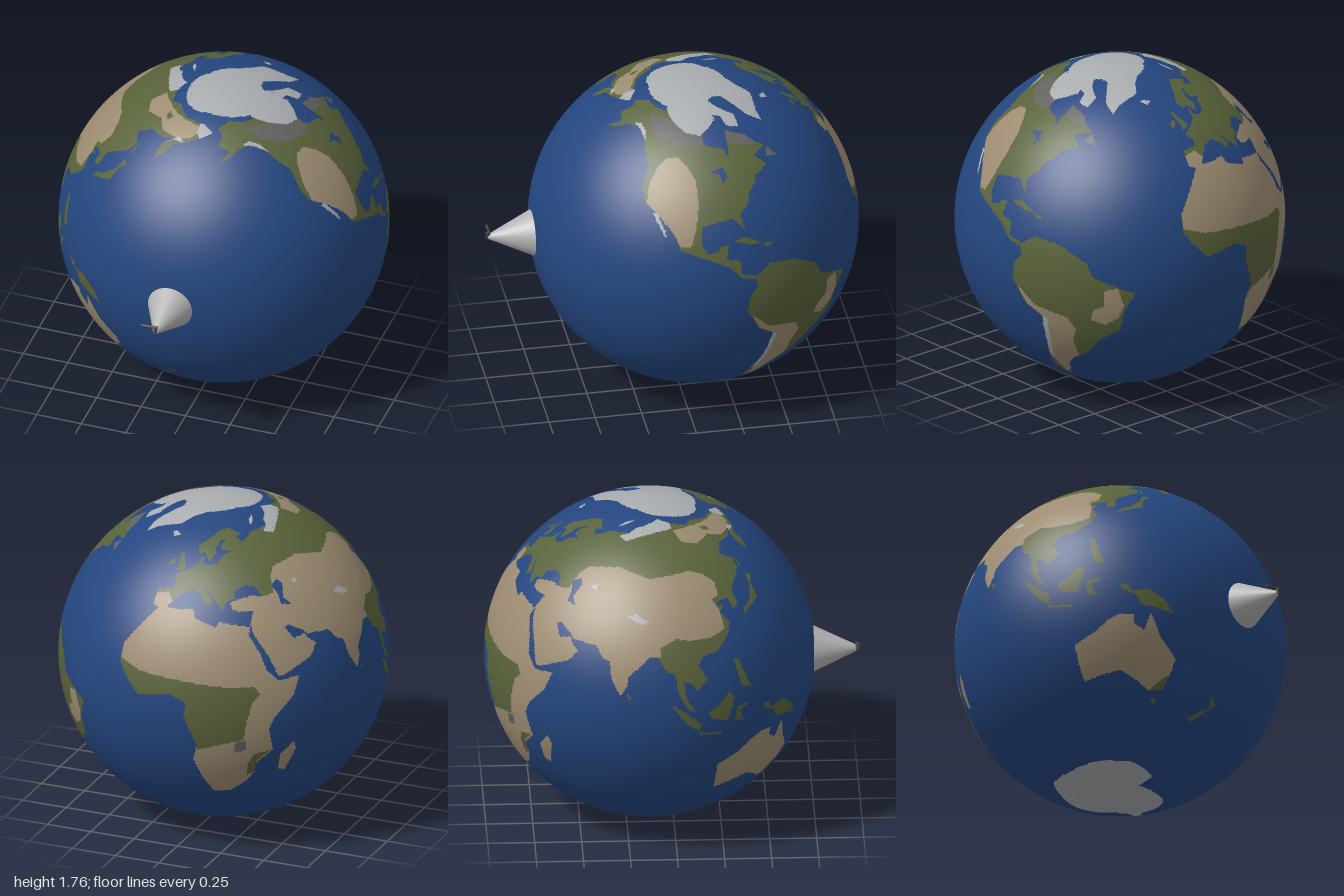
import * as THREE from 'three';

const mat = (name, color) => {
  const m = new THREE.MeshStandardMaterial({ color });
  m.name = name;
  return m;
};
const ocean = mat('oceanBlue', 0x24467f);
const green = mat('forestGreen', 0x59633a);
const tan = mat('desertTan', 0x9d8c72);
const ice = mat('iceWhite', 0xa9adb0);
const grey = mat('tundraGrey', 0x62635f);
const metal = mat('coneSilver', 0xb4b4b4);
const dark = mat('handleBrown', 0x4b453e);

const R = 0.88, CENTRE = [0, 0.88, -0.12];

// Regions are outlines of longitude, latitude pairs; later ones cover earlier ones
const regions = [];
function paint(material, ...outlines) {
  for (const pts of outlines) {
    const box = [999, -999, 999, -999];
    for (let i = 0; i < pts.length; i += 2) {
      box[0] = Math.min(box[0], pts[i]); box[1] = Math.max(box[1], pts[i]);
      box[2] = Math.min(box[2], pts[i + 1]); box[3] = Math.max(box[3], pts[i + 1]);
    }
    regions.push({ material, pts, box });
  }
}
function inside({ pts, box }, x, y) {
  if (x < box[0] || x > box[1] || y < box[2] || y > box[3]) return false;
  let hit = false;
  for (let i = 0, j = pts.length - 2; i < pts.length; j = i, i += 2) {
    const [xi, yi, xj, yj] = [pts[i], pts[i + 1], pts[j], pts[j + 1]];
    if ((yi > y) !== (yj > y) && x < (xj - xi) * (y - yi) / (yj - yi) + xi) hit = !hit;
  }
  return hit;
}
function colourAt(lon, lat) {
  for (let i = regions.length - 1; i >= 0; i--) {
    if (inside(regions[i], lon, lat) || inside(regions[i], lon + 360, lat)) return regions[i].material;
  }
  return ocean;
}

// Europe and its islands
paint(green,
  [-9, 43, -2, 43.5, -1, 46, -4, 48.5, 2, 51, 8, 54, 8.5, 57, 10.5, 57.5, 10, 54.5, 14, 54, 19, 54.5, 21, 57, 24, 59,
    30, 60, 30, 64, 33, 66.5, 38, 64, 44, 66, 48, 68, 48, 42, 41, 41.5, 38, 45.5, 33, 46, 28, 44, 28, 41, 24, 40.5,
    23, 37, 19, 41, 13.5, 45.5, 18, 40.5, 16, 38, 12, 42.5, 9, 44, 3, 42.5, 0, 39, -2, 37, -6, 36, -9, 37],
  [30, 60, 22, 60.5, 21, 63, 25, 65.5, 21, 65, 17, 61, 18, 59, 14, 55.5, 11, 59, 6, 58.5, 5, 62, 12, 66, 20, 70,
    28, 71, 40, 67.5, 33, 66.5, 30, 64],
  [-5, 50, 1, 51.5, 0, 53.5, -2, 56, -3, 58.5, -5.5, 58, -4, 54, -3, 52],
  [-10, 52, -6.5, 52.5, -6, 55, -9, 54.5]);
paint(tan, [-9, 41, -3, 42, 0, 39, -2, 37, -6, 36, -9, 37]);
paint(ice, [-24, 65.5, -20, 66, -14, 65, -19, 63.5]);

// Asia and its islands
paint(green,
  [48, 68, 54, 68.5, 68, 69, 73, 72, 80, 73, 100, 77, 113, 74, 130, 71, 140, 72.5, 160, 69.5, 180, 69, 190, 66, 180, 63,
    170, 60, 163, 58, 162, 55, 157, 51, 156, 57, 163, 61, 155, 59, 142, 59, 135, 55, 141, 52, 140, 48, 131, 43, 129, 41,
    129, 36, 126, 35, 125, 39, 121, 39, 118, 38, 122, 37, 119, 35, 122, 31, 120, 27, 114, 22, 108, 21, 106, 18, 109, 13,
    105, 9, 103, 12, 100, 13, 101, 7, 104, 1.5, 101, 3, 98, 9, 97, 16, 94, 17, 91, 22, 80, 30, 48, 42],
  [130, 32, 131, 34, 136, 36, 140, 40, 142, 45, 145, 43.5, 141.5, 41, 141, 36, 136, 34],
  [142, 54, 143, 50, 142.5, 46, 142, 50],
  [120, 18, 122, 18, 124, 12, 126, 7, 122, 8, 121, 13],
  [109, 1, 113, 3, 117, 7, 119, 5, 116, -3.5, 110, -2],
  [95, 5.5, 100, 2, 106, -3, 105.5, -6, 101, -3],
  [105, -6.5, 114, -7.5, 114, -8.5, 106, -7.5],
  [119, -4, 120, 1, 125, 1.5, 121, -1, 123, -5],
  [131, -1, 134, -1, 135, -3.5, 141, -2.5, 147, -6, 150, -10.5, 147, -10, 143, -9, 138, -8, 137, -5, 132, -3]);
paint(tan,
  [27, 37, 26, 40, 30, 41, 36, 42, 41, 41.5, 48, 42, 90, 42, 92, 22, 88, 22, 86, 20, 80, 15, 80, 12, 77.5, 8, 74, 14,
    73, 20, 70, 21, 67, 25, 57, 25.5, 56, 27, 50, 30, 48, 29.5, 51, 25, 56, 26, 57, 24, 60, 22, 57, 18, 52, 16, 45, 13,
    43, 13, 40, 20, 35, 28, 34, 32, 36, 36.5, 31, 36.5],
  [47, 42, 48, 48, 52, 52, 60, 53, 70, 54, 80, 52, 88, 50, 98, 51, 110, 52, 117, 50, 122, 46, 121, 41, 117, 40,
    119, 36, 119, 29, 112, 27, 104, 27, 98, 28, 92, 25, 85, 30],
  [112, 70, 130, 70, 150, 69, 175, 68, 180, 66, 172, 62, 163, 61, 150, 61, 140, 64, 125, 62, 114, 64]);
paint(green, [80, 9, 82, 7.5, 80.5, 6], [140, 68, 148, 67, 146, 65, 141, 66]);
paint(ocean, [47, 45, 51, 47, 53, 45, 51, 40, 54, 37, 49, 37.5, 49, 41]);
paint(ice,
  [58, 45, 61, 46, 61, 44], [78, 36, 82, 37, 88, 34, 84, 33.5],
  [60, 67, 68, 69, 73, 72, 80, 73, 100, 77, 113, 74, 112, 71, 95, 70, 80, 68, 68, 65],
  [52, 71, 56, 74, 68, 76.5, 58, 72.5],
  [176, 69, 180, 69, 190, 66, 180, 63, 176, 65.5], [156, 57, 162, 60, 170, 60, 165, 62, 163, 61]);

// Africa
paint(tan,
  [-6, 36, 10, 37, 11, 34, 20, 31, 21, 33, 30, 31.5, 34, 31, 33, 28, 37, 21, 39, 15, 43, 11.5, 51, 12, 48, 5, 41, -2,
    39, -6, 41, -15, 35, -20, 35, -24, 32, -29, 26, -34, 19, -34.5, 15, -27, 12, -18, 13.5, -12, 9, -1, 9.5, 4, 4, 6.5,
    -8, 4.5, -13, 9, -17, 14.5, -17, 21, -13, 27, -10, 31],
  [44, -17, 49, -12.5, 50, -16, 47, -25, 44, -24]);
paint(green,
  [-17, 16, -8, 13, 5, 12, 15, 11, 25, 10, 34, 10, 36, 7, 33, 4, 31, -3, 30, -10, 24, -11, 13.5, -14, 13.5, -12, 9, -1,
    9.5, 4, 4, 6.5, -8, 4.5, -13, 9, -17, 14.5],
  [34, -16, 40, -15, 35, -19, 35, -24, 32, -26, 32, -20]);
paint(grey, [27, -11, 31, -10, 31, -14, 27, -15]);

// Oceania
paint(tan, [114, -22, 122, -18, 127, -14, 131, -12, 136, -12, 136, -15, 140, -17.5, 142, -11, 146, -19, 153, -26,
  152, -32, 150, -37.5, 144, -38.5, 138, -35, 131, -31.5, 124, -33, 116, -35, 115, -31]);
paint(green, [150, -37.5, 144, -38.5, 145, -37, 150, -33, 152, -32], [145, -41, 148, -41, 147, -43.5],
  [173, -35, 178, -38, 175, -41.5, 175, -38.5], [172.5, -41, 174, -42, 169, -46.5, 167, -45.5]);

// North America
paint(green,
  [-166, 68, -156, 71, -140, 70, -128, 70, -115, 68, -95, 68, -94, 59, -92, 57, -82, 55, -80, 51.5, -79, 55, -77, 62,
    -70, 60, -65, 58.5, -60, 54, -56, 52, -66, 50, -61, 46, -66, 44, -70, 43, -70, 41.5, -76, 37, -76, 35, -81, 31,
    -80, 26, -82, 28, -84, 30, -90, 29.5, -97, 28, -97, 22, -95, 18.5, -91, 19, -90, 21, -87, 21, -88, 16, -83, 15,
    -83, 10, -78, 9, -78, 7.5, -83, 8.5, -87, 13, -94, 16, -105, 20, -106, 23, -113, 31, -117, 33, -121, 35, -124, 40,
    -124, 48, -130, 54, -135, 59, -145, 60.5, -152, 59, -158, 56, -164, 54.5, -157, 59, -165, 61, -162, 65],
  [-85, 22, -80, 23, -74, 20, -78, 20], [-74, 19.8, -69, 19, -72, 18]);
paint(tan, [-114, 31, -117, 33, -120.5, 35, -121, 42, -119, 48, -115, 52, -109, 52.5, -103, 49, -99, 44, -98, 36,
  -99, 28, -101, 21, -105, 21, -108, 26]);
paint(grey, [-141, 67, -125, 67, -115, 66, -100, 63, -94, 61, -94, 56, -105, 56, -115, 57, -125, 59, -133, 62],
  [-78, 57, -77, 62, -70, 60, -65, 58.5, -60, 54, -66, 54], [-59, 48, -56, 51.5, -53, 47]);
paint(ocean, [-92, 47, -85, 48.5, -84, 46, -82, 43, -84, 45, -86, 42, -87, 46]);
paint(ice, [-115, 32, -117, 32, -112, 25.5, -110, 23, -111, 26],
  [-148, 61, -140, 60, -134, 57.5, -131, 56, -135, 60, -142, 62],
  [-130, 71, -120, 67, -105, 62, -95, 61, -93, 62, -88, 64, -82, 67, -72, 63, -65, 62, -62, 67, -75, 73, -80, 76,
    -130, 76]);
paint(ocean, [-82, 69, -75, 68, -74, 64, -80, 64.5]);

// South America
paint(green, [-78, 8, -72, 12, -62, 10.5, -52, 5, -50, 0, -44, -2.5, -35, -6, -39, -13, -40, -21, -48, -26, -54, -34,
  -57, -36, -62, -39, -65, -43, -66, -47, -69, -51, -65, -55, -72, -53, -75, -47, -73, -38, -71, -30, -70, -18,
  -76, -14, -81, -5, -80, 1, -77, 4]);
paint(tan, [-70, -18, -76, -14, -79, -8, -77, -9, -72, -14, -68, -15, -60, -17, -57, -22, -59, -28, -58, -36, -62, -39,
  -65, -43, -66, -47, -69, -51, -72, -50, -73, -38, -71, -30],
  [-46, -5, -41, -4, -39, -11, -41, -16, -46, -19, -51, -17, -50, -13, -46, -11]);
paint(grey, [-75, -47, -73, -41, -71.5, -42, -71, -50, -72, -53]);
paint(ice, [-70, -18, -68, -19, -69, -30, -71, -40, -72.5, -38, -71, -30]);

// Polar ice
paint(ice,
  [-180, 74, -150, 72.5, -130, 72, -100, 74, -80, 76, -70, 77, -58, 76, -54, 70, -52, 65, -45, 60, -41, 64, -35, 66.5,
    -24, 69.5, -20, 75, -8, 79, 20, 81, 58, 82, 86, 80, 113, 78, 135, 75.5, 148, 74, 165, 73.5, 180, 74, 180, 90, -180, 90],
  [-180, -78, -150, -77, -120, -74, -100, -73, -75, -73, -68, -67, -58, -63, -62, -70, -60, -75, -40, -78, -20, -74,
    0, -70, 30, -69, 50, -66, 80, -67, 110, -66, 140, -66.5, 160, -70, 170, -72, 165, -78, 180, -78, 180, -90, -180, -90]);

// Sphere cells, split finer along coastlines and sorted by colour
function buildGlobe(group) {
  const faces = new Map([ocean, green, tan, ice, grey].map((m) => [m, []]));
  const point = (lon, lat) => {
    const a = THREE.MathUtils.degToRad(lon), b = THREE.MathUtils.degToRad(lat);
    return [-Math.cos(b) * Math.sin(a), Math.sin(b), -Math.cos(b) * Math.cos(a)];
  };
  const cell = (lon, lat, s) => {
    const m = colourAt(lon + s / 2, lat + s / 2);
    let mixed = false;
    if (s > 0.5) {
      for (let i = 0; i < 9 && !mixed; i++) {
        const u = 0.02 + 0.48 * (i % 3), v = 0.02 + 0.48 * Math.floor(i / 3);
        mixed = colourAt(lon + s * u, lat + s * v) !== m;
      }
    }
    if (mixed) {
      const h = s / 2;
      for (const [u, v] of [[0, 0], [h, 0], [0, h], [h, h]]) cell(lon + u, lat + v, h);
      return;
    }
    const a = point(lon, lat), b = point(lon + s, lat), c = point(lon + s, lat + s), d = point(lon, lat + s);
    faces.get(m).push(...a, ...b, ...c, ...a, ...c, ...d);
  };
  for (let lat = -90; lat < 90; lat += 2) for (let lon = -180; lon < 180; lon += 2) cell(lon, lat, 2);

  const names = ['oceanSurface', 'greenLand', 'desertLand', 'iceSheets', 'tundraLand'];
  [...faces].forEach(([m, dirs], i) => {
    const g = new THREE.BufferGeometry();
    g.setAttribute('normal', new THREE.Float32BufferAttribute(dirs, 3));
    g.setAttribute('position', new THREE.Float32BufferAttribute(dirs.map((v) => v * R), 3));
    const mesh = new THREE.Mesh(g, m);
    mesh.name = names[i];
    group.add(mesh);
  });
}

export function createModel() {
  const model = new THREE.Group();
  model.name = 'globeWithCone';
  const globe = new THREE.Group();
  globe.name = 'globe';
  globe.position.set(...CENTRE);
  buildGlobe(globe);
  model.add(globe);

  const add = (name, geometry, material, x, y, z) => {
    const mesh = new THREE.Mesh(geometry, material);
    mesh.name = name;
    mesh.position.set(x, y, z);
    model.add(mesh);
  };
  // Cone on the front with a small handle at its tip
  add('cone', new THREE.CylinderGeometry(0.012, 0.127, 0.245, 48).rotateX(Math.PI / 2), metal, 0, 0.88, 0.8675);
  add('handleBar', new THREE.CylinderGeometry(0.007, 0.007, 0.09, 12).rotateZ(Math.PI / 2 + 0.06), dark, -0.035, 0.904, 0.982);
  add('handleGrip', new THREE.BoxGeometry(0.016, 0.032, 0.02), dark, 0.002, 0.892, 0.99);
  return model;
}
